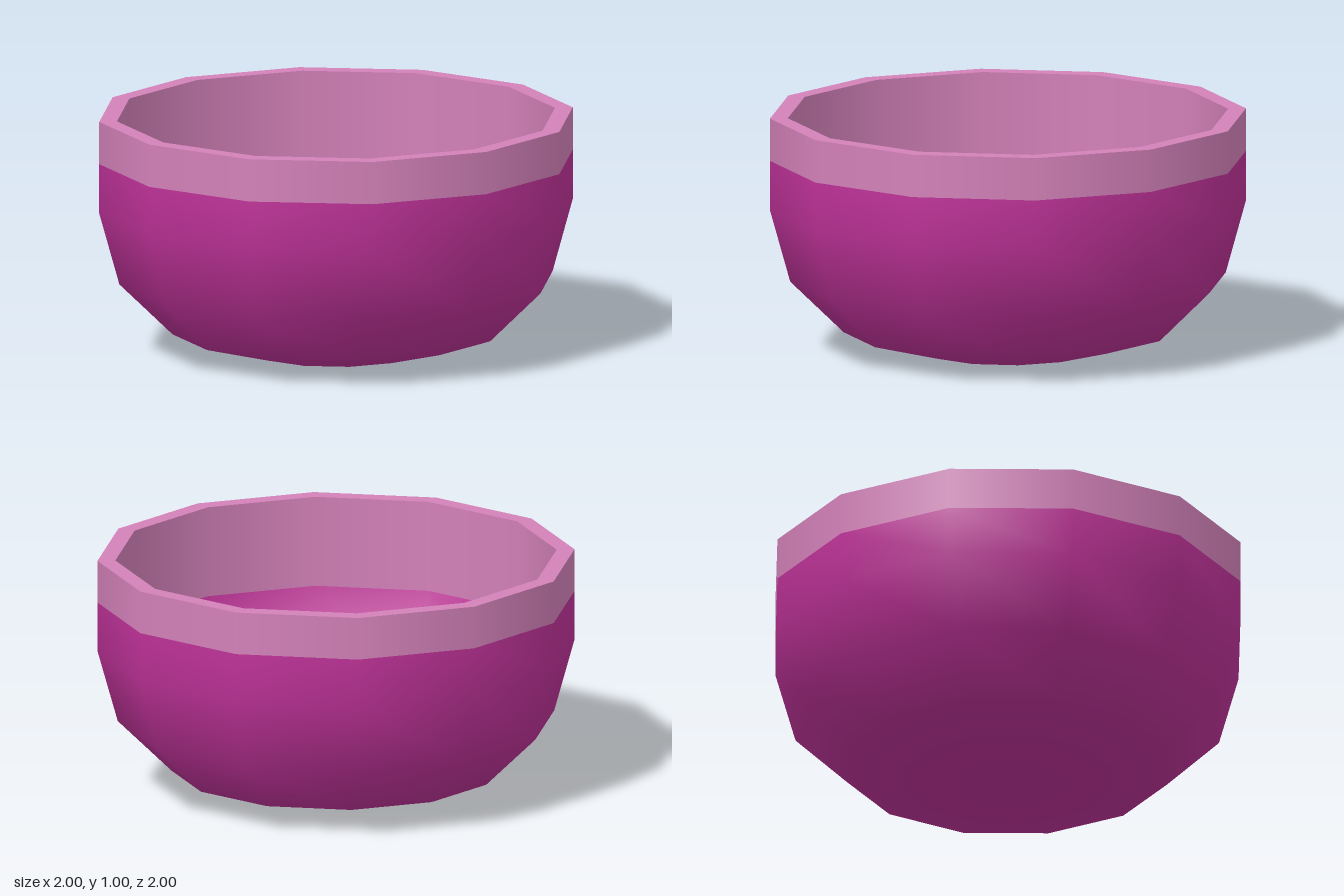
import * as THREE from 'three';

const SIDES = 12;

export function createModel() {
  const bowl = new THREE.Group();
  bowl.name = 'bowl';

  const magenta = new THREE.MeshStandardMaterial({ color: 0xbf3299 });
  magenta.name = 'magenta';
  const pink = new THREE.MeshStandardMaterial({ color: 0xd381b9 });
  pink.name = 'pink';

  // Revolves a profile of [radius, height] points around the y axis
  const ring = (name, material, profile) => {
    const points = profile.map(([r, y]) => new THREE.Vector2(r, y));
    const mesh = new THREE.Mesh(new THREE.LatheGeometry(points, SIDES), material);
    mesh.name = name;
    bowl.add(mesh);
  };

  // Outside: base and curved wall, then the rim band
  ring('outerWall', magenta, [[0, 0], [0.37, 0], [0.69, 0.085], [0.915, 0.305], [1, 0.61], [1, 0.82]]);
  ring('outerBand', pink, [[1, 0.82], [1, 1]]);

  // Flat lip on top
  ring('lip', pink, [[1, 1], [0.925, 1]]);

  // Inside: rim band, then the curved hollow
  ring('innerBand', pink, [[0.925, 1], [0.925, 0.615]]);
  ring('innerWall', magenta, [[0.925, 0.615], [0.847, 0.335], [0.64, 0.15], [0.345, 0.075], [0, 0.075]]);

  return bowl;
}
